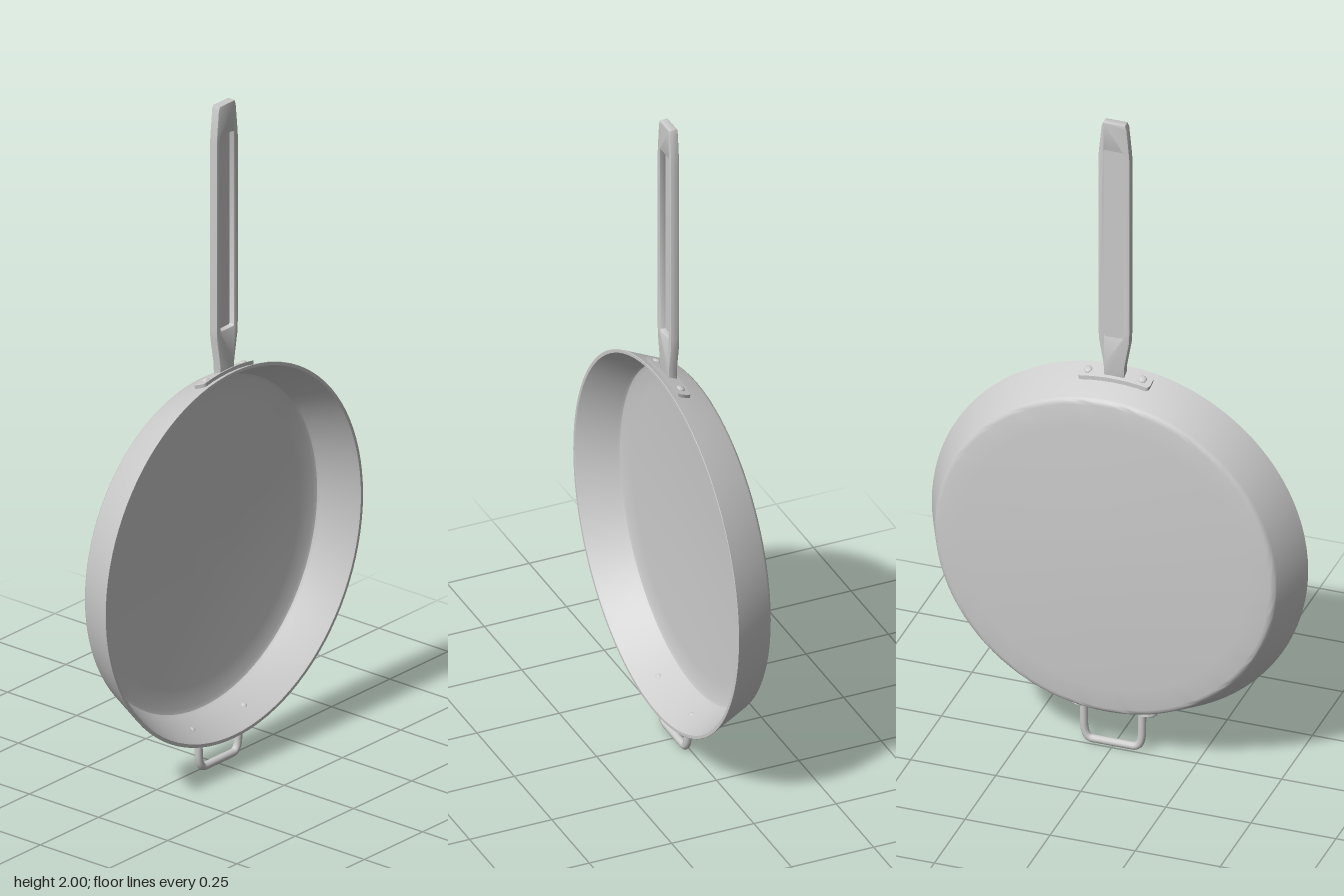
import * as THREE from 'three';
import { toCreasedNormals } from 'three/addons/utils/BufferGeometryUtils.js';

const CY = 0.645;                                  // centre height of the pan
const wallR = z => 0.553 - (0.07 - z) * 0.42;      // outer wall radius at depth z

export function createModel() {
  const root = new THREE.Group();
  const mat = new THREE.MeshStandardMaterial({ color: 0xcccccc });
  const add = (name, geo, parent = root) => {
    const m = new THREE.Mesh(geo, mat);
    m.name = name;
    parent.add(m);
    return m;
  };

  // Pan body: slightly domed base, sloping wall, thin flat rim
  const profile = [
    [0, -0.071], [0.15, -0.0695], [0.3, -0.065], [0.42, -0.0595], [0.485, -0.056],
    [0.494, -0.054], [0.499, -0.050], [0.503, -0.044], [0.553, 0.069], [0.552, 0.07],
    [0.543, 0.07], [0.541, 0.068], [0.494, -0.036], [0.489, -0.043], [0.478, -0.047],
    [0.42, -0.050], [0.3, -0.055], [0.15, -0.0595], [0, -0.061],
  ].map(p => new THREE.Vector2(...p));
  const body = toCreasedNormals(new THREE.LatheGeometry(profile, 96), 0.6);
  body.rotateX(Math.PI / 2);
  add('panBody', body).position.y = CY;

  // Places a mesh on the wall, its y axis pointing away from the wall
  const onWall = (mesh, x, z, side, offset) => {
    const r = wallR(z) + offset, a = Math.asin(x / r);
    mesh.position.set(x, CY + side * r * Math.cos(a), z);
    const n = new THREE.Vector3(Math.sin(a), side * Math.cos(a), -0.42).normalize();
    if (offset < 0) n.negate();
    mesh.quaternion.setFromUnitVectors(new THREE.Vector3(0, 1, 0), n);
  };
  const rivetGeo = new THREE.SphereGeometry(0.012, 20, 8, 0, Math.PI * 2, 0, Math.PI / 2);
  const rivet = (name, x, z, side, offset, scale = 1) => {
    const m = add(name, rivetGeo);
    m.scale.set(scale, 0.5 * scale, scale);
    onWall(m, x, z, side, offset);
  };

  // Mounting plate bent around the top of the wall, with rounded corners
  const W = 0.107, H = 0.0215, C = 0.01;
  let plate = new THREE.BoxGeometry(2 * W, 0.014, 2 * H, 64, 1, 1);
  const p = plate.attributes.position;
  for (let i = 0; i < p.count; i++) {
    const x = p.getX(i), over = Math.max(0, Math.abs(x) - (W - C));
    const half = H - C + Math.sqrt(Math.max(0, C * C - over * over));
    const z = 0.0315 + Math.sign(p.getZ(i)) * half;
    const r = wallR(z) + 0.004 + p.getY(i), a = x / 0.54;
    p.setXYZ(i, r * Math.sin(a), CY + r * Math.cos(a), z);
  }
  add('mountingPlate', toCreasedNormals(plate, 0.6));

  // Long handle: solid back and a front frame around a long recess
  const outline = [
    [-0.026, 1.17], [0.026, 1.17], [0.028, 1.22], [0.042, 1.3], [0.043, 1.33], [0.043, 1.89],
    [0.041, 1.915], [0.034, 1.985], [0.03, 1.996], [-0.03, 1.996], [-0.034, 1.985],
    [-0.041, 1.915], [-0.043, 1.89], [-0.043, 1.33], [-0.042, 1.3], [-0.028, 1.22],
  ].map(q => new THREE.Vector2(...q));
  const roundRect = (T, x, y, w, h, r) => {
    const s = new T();
    s.absarc(x + w - r, y + r, r, -Math.PI / 2, 0);
    s.absarc(x + w - r, y + h - r, r, 0, Math.PI / 2);
    s.absarc(x + r, y + h - r, r, Math.PI / 2, Math.PI);
    s.absarc(x + r, y + r, r, Math.PI, Math.PI * 1.5);
    return s;
  };
  const handle = new THREE.Group();
  handle.name = 'handle';
  root.add(handle);
  const bevel = { bevelEnabled: true, bevelThickness: 0.003, bevelSize: 0.003, bevelSegments: 2, curveSegments: 6 };
  const frame = new THREE.Shape(outline);
  frame.holes.push(roundRect(THREE.Path, -0.031, 1.317, 0.062, 0.594, 0.008));
  const frameGeo = new THREE.ExtrudeGeometry(frame, { ...bevel, depth: 0.02 });
  frameGeo.translate(0, 0, 0.022);
  add('handleFrame', toCreasedNormals(frameGeo, 0.6), handle);
  const floorGeo = new THREE.ExtrudeGeometry(roundRect(THREE.Shape, -0.036, 1.312, 0.072, 0.604, 0.008),
    { depth: 0.009, bevelEnabled: false });
  floorGeo.translate(0, 0, 0.019);
  add('handleRecessFloor', floorGeo, handle);

  // Helper loop at the bottom
  const v = (x, y, z = 0.0125) => new THREE.Vector3(x, y, z);
  const loop = new THREE.CurvePath();
  loop.add(new THREE.LineCurve3(v(-0.086, 0.13), v(-0.085, 0.055)));
  loop.add(new THREE.QuadraticBezierCurve3(v(-0.085, 0.055), v(-0.083, 0.012), v(-0.058, 0.012)));
  loop.add(new THREE.LineCurve3(v(-0.058, 0.012), v(0.058, 0.012)));
  loop.add(new THREE.QuadraticBezierCurve3(v(0.058, 0.012), v(0.083, 0.012), v(0.085, 0.055)));
  loop.add(new THREE.LineCurve3(v(0.085, 0.055), v(0.086, 0.13)));
  add('helperLoop', new THREE.TubeGeometry(loop, 80, 0.0115, 12));

  // Rivets and loop pads, mirrored left and right
  const padGeo = new THREE.CylinderGeometry(0.019, 0.021, 0.012, 24);
  for (const s of [-1, 1]) {
    rivet('plateRivet', s * 0.08, 0.031, 1, 0.011);
    rivet('innerTopRivet', s * 0.08, 0.031, 1, -0.0115, 0.7);
    const pad = add('loopPad', padGeo);
    pad.scale.x = 1.3;
    onWall(pad, s * 0.105, 0.0125, -1, 0.003);
    rivet('loopRivet', s * 0.113, 0.0125, -1, 0.009, 0.9);
    rivet('innerLoopRivet', s * 0.11, 0.0125, -1, -0.0115, 0.7);
  }
  return root;
}
